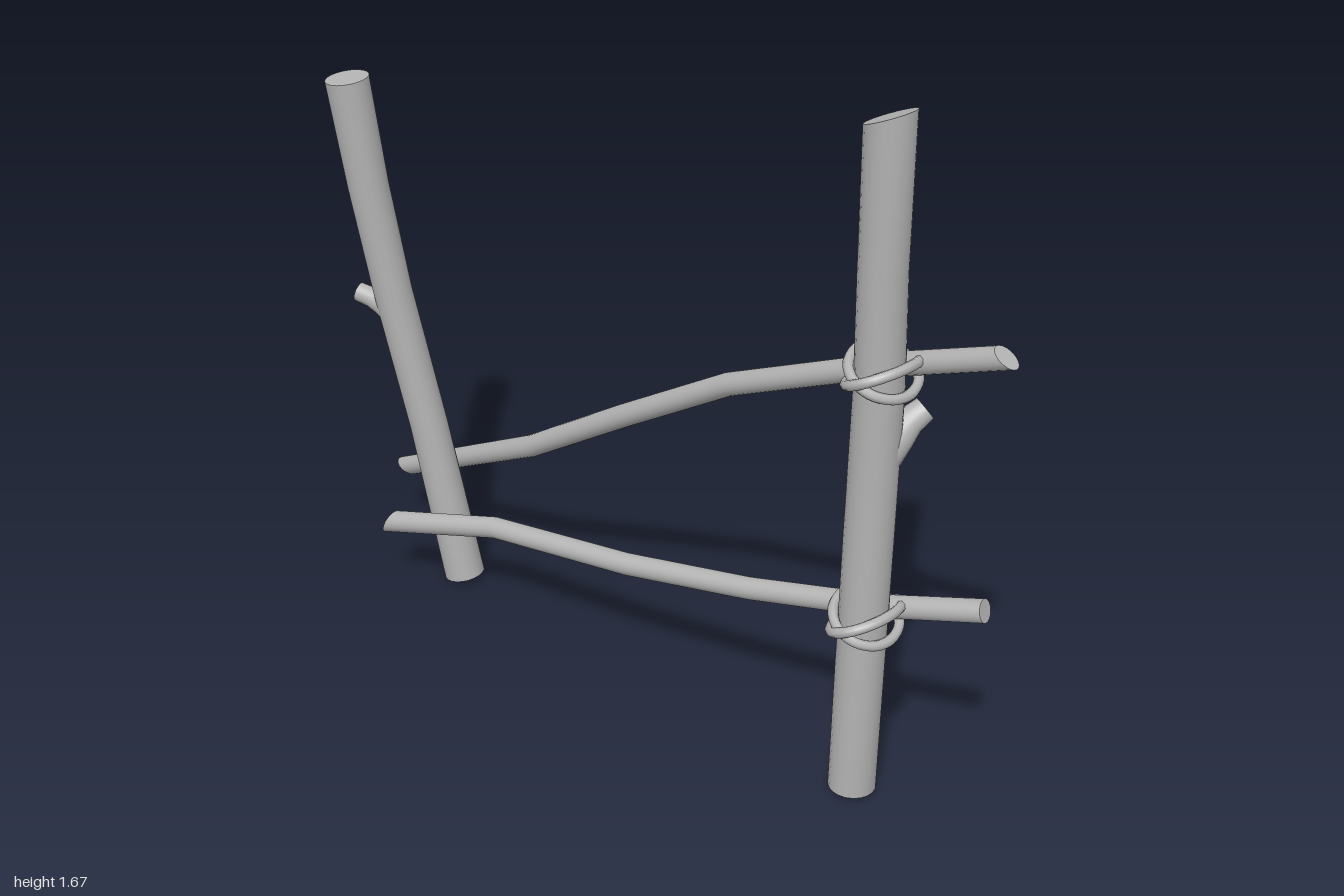
import * as THREE from 'three';

const V = (a) => new THREE.Vector3(...a);
const SIDES = 20;

// Round limb along a bent path of [x, y, z, radius]; each end may be sawn off along a given normal.
function limbGeometry(path, startCut, endCut) {
  const pts = path.map((p) => V(p.slice(0, 3)));
  const n = pts.length;
  const pos = [], index = [];
  const rings = pts.map((p, i) => {
    const t = pts[Math.min(i + 1, n - 1)].clone().sub(pts[Math.max(i - 1, 0)]).normalize();
    const ref = Math.abs(t.y) > 0.8 ? V([0, 0, 1]) : V([0, 1, 0]);
    const u = ref.clone().cross(t).normalize();
    const v = t.clone().cross(u);
    const cut = i === 0 ? startCut : i === n - 1 ? endCut : null;
    const ring = [];
    for (let k = 0; k < SIDES; k++) {
      const a = (k / SIDES) * Math.PI * 2;
      const o = u.clone().multiplyScalar(Math.cos(a) * path[i][3]).addScaledVector(v, Math.sin(a) * path[i][3]);
      // slide the corner along the limb onto the saw plane
      if (cut) o.addScaledVector(t, -o.dot(V(cut)) / t.dot(V(cut)));
      ring.push(o.add(p));
    }
    return ring;
  });
  rings.forEach((ring) => ring.forEach((q) => pos.push(q.x, q.y, q.z)));
  for (let i = 0; i < n - 1; i++) {
    for (let k = 0; k < SIDES; k++) {
      const a = i * SIDES + k, b = i * SIDES + ((k + 1) % SIDES);
      index.push(a, b, b + SIDES, a, b + SIDES, a + SIDES);
    }
  }
  // caps use their own vertices so the rims stay sharp
  [[rings[0], pts[0], true], [rings[n - 1], pts[n - 1], false]].forEach(([ring, c, flip]) => {
    const base = pos.length / 3;
    [c, ...ring].forEach((q) => pos.push(q.x, q.y, q.z));
    for (let k = 0; k < SIDES; k++) {
      const a = base + 1 + k, b = base + 1 + ((k + 1) % SIDES);
      index.push(base, flip ? b : a, flip ? a : b);
    }
  });
  const g = new THREE.BufferGeometry();
  g.setAttribute('position', new THREE.Float32BufferAttribute(pos, 3));
  g.setIndex(index);
  g.computeVertexNormals();
  return g;
}

export function createModel() {
  const group = new THREE.Group();
  const wood = new THREE.MeshStandardMaterial({ color: 0xb4b4b4 });
  wood.name = 'plain grey';
  const add = (name, geometry) => {
    const m = new THREE.Mesh(geometry, wood);
    m.name = name;
    group.add(m);
  };

  // Upright posts
  add('tallPost', limbGeometry([
    [0.69, 0.01, 0.078, 0.056], [0.697, 0.35, 0.083, 0.056], [0.703, 0.7, 0.086, 0.056],
    [0.71, 1.05, 0.09, 0.055], [0.717, 1.32, 0.112, 0.053], [0.722, 1.65, 0.124, 0.054],
  ], [0, -1, 0], [-0.37, 0.93, 0]));
  add('leaningPost', limbGeometry([
    [-0.65, 0.01, -0.04, 0.054], [-0.725, 0.46, -0.005, 0.05], [-0.785, 0.84, 0.04, 0.05],
    [-0.82, 1.13, 0.07, 0.052], [-0.84, 1.41, 0.1, 0.055],
  ]));

  // Broken twig stubs, flaring into the posts
  add('tallPostStub', limbGeometry([
    [0.712, 0.88, 0.08, 0.05], [0.735, 0.93, 0.045, 0.042], [0.75, 0.955, 0.02, 0.032], [0.768, 0.978, -0.005, 0.028],
  ]));
  add('leaningPostStub', limbGeometry([
    [-0.785, 0.785, 0.035, 0.045], [-0.825, 0.8, 0.047, 0.032], [-0.85, 0.808, 0.055, 0.026], [-0.885, 0.817, 0.065, 0.025],
  ]));

  // Rails, one crossing behind and one in front of the leaning post
  add('upperRail', limbGeometry([
    [-0.97, 0.183, -0.156, 0.027], [-0.43, 0.455, -0.085, 0.029], [-0.1, 0.66, -0.058, 0.029],
    [0.235, 0.86, -0.03, 0.028], [0.71, 1.07, 0.008, 0.027], [0.97, 1.172, 0.036, 0.026],
  ], [-0.37, -0.93, 0], [0.54, 0.84, 0]));
  add('lowerRail', limbGeometry([
    [-0.785, 0.182, 0.095, 0.029], [-0.45, 0.262, 0.045, 0.028], [-0.02, 0.31, 0.032, 0.028],
    [0.345, 0.378, 0.022, 0.027], [0.71, 0.468, 0.01, 0.027], [0.945, 0.538, -0.014, 0.027],
  ], [-0.94, 0.34, 0]));

  // Rope lashings: two crossed loops around post and rail
  [['upperLashing', 0.706, 1.075], ['lowerLashing', 0.698, 0.468]].forEach(([name, x, y]) => {
    [-1, 1].forEach((s) => {
      const pts = [];
      for (let k = 0; k < 10; k++) {
        const a = (k / 10) * Math.PI * 2;
        pts.push(V([
          x + Math.cos(a) * 0.068,
          y + s * Math.cos(a) * 0.033 + s * Math.sin(a) * 0.006,
          0.07 + Math.sin(a) * (0.094 + s * 0.006),
        ]));
      }
      const curve = new THREE.CatmullRomCurve3(pts, true);
      add(name, new THREE.TubeGeometry(curve, 40, 0.012, 8, true));
    });
  });

  return group;
}
